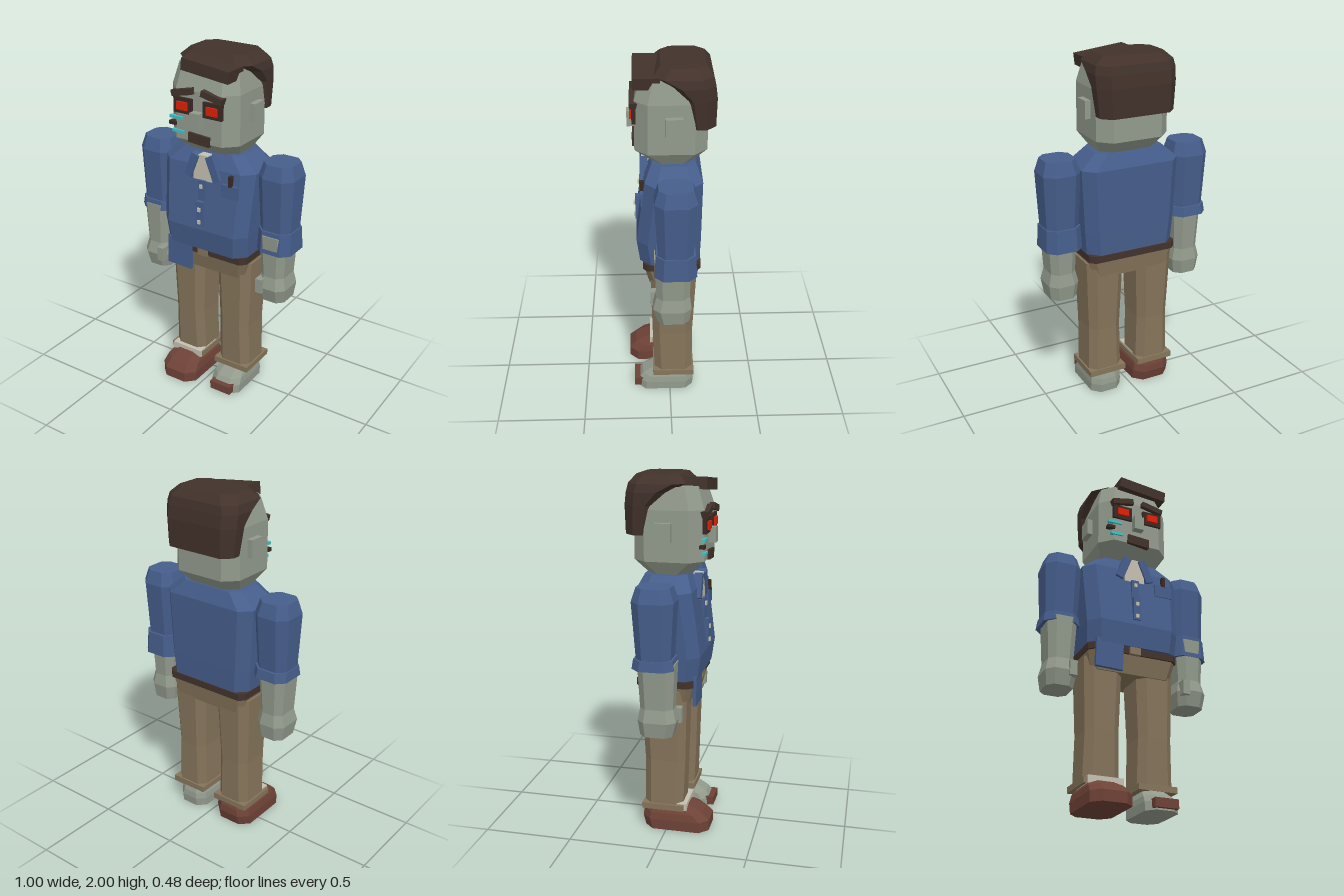
import * as THREE from 'three';

const mat = (name, color) => {
  const m = new THREE.MeshStandardMaterial({ color, flatShading: true });
  m.name = name;
  return m;
};

export function createModel() {
  const root = new THREE.Group();
  root.name = 'blockyUndeadMan';
  const skin = mat('grey green skin', 0x929a8c);
  const blue = mat('blue shirt', 0x465e8c);
  const hairBrown = mat('dark brown hair', 0x42322b);
  const tan = mat('tan trousers', 0x85745a);
  const leather = mat('red brown leather', 0x6e4237);
  const cloth = mat('pale cloth', 0xc4c0b0);
  const red = mat('glowing red', 0xe02008);
  const cyan = mat('cyan scratch', 0x40c4c8);
  const dark = mat('dark socket', 0x3a2a24);

  // Closed loft through chamfered rectangles: [y, halfWidth, zBack, zFront, chamfer]
  function loft(name, material, cx, rings) {
    const pos = [], idx = [];
    for (const [y, w, b, f, c] of rings) {
      const corners = [[w, f - c], [w, b + c], [w - c, b], [c - w, b],
        [-w, b + c], [-w, f - c], [c - w, f], [w - c, f]];
      for (const [x, z] of corners) pos.push(cx + x, y, z);
    }
    const n = rings.length;
    for (let r = 0; r < n - 1; r++) {
      for (let i = 0; i < 8; i++) {
        const a = r * 8 + i, b = r * 8 + (i + 1) % 8;
        idx.push(a, b, b + 8, a, b + 8, a + 8);
      }
    }
    const top = (n - 1) * 8;
    for (let i = 1; i < 7; i++) {
      idx.push(0, i + 1, i);
      idx.push(top, top + i, top + i + 1);
    }
    const g = new THREE.BufferGeometry();
    g.setAttribute('position', new THREE.Float32BufferAttribute(pos, 3));
    g.setIndex(idx);
    const flat = g.toNonIndexed();
    flat.computeVertexNormals();
    const m = new THREE.Mesh(flat, material);
    m.name = name;
    root.add(m);
    return m;
  }

  // Box from its limits on each axis, turned about z
  function box(name, material, x0, x1, y0, y1, z0, z1, turn = 0) {
    const m = new THREE.Mesh(new THREE.BoxGeometry(x1 - x0, y1 - y0, z1 - z0), material);
    m.position.set((x0 + x1) / 2, (y0 + y1) / 2, (z0 + z1) / 2);
    m.rotation.z = turn;
    m.name = name;
    root.add(m);
    return m;
  }

  // Torso, belt and hips
  loft('torso', blue, 0, [
    [0.9, 0.265, -0.165, 0.165, 0.06], [1.03, 0.275, -0.17, 0.182, 0.06],
    [1.39, 0.292, -0.175, 0.135, 0.06], [1.472, 0.2, -0.14, 0.095, 0.05]]);
  loft('belt', hairBrown, 0, [[0.86, 0.267, -0.17, 0.15, 0.03], [0.9, 0.267, -0.17, 0.15, 0.03]]);
  box('buckle', tan, -0.033, 0.033, 0.858, 0.9, 0.14, 0.162);
  loft('hips', tan, 0, [[0.755, 0.235, -0.145, 0.115, 0.03], [0.86, 0.26, -0.16, 0.14, 0.03]]);
  box('shirtTail', blue, -0.235, -0.075, 0.752, 0.92, 0.145, 0.165, -0.03);

  // Shirt front
  const bib = new THREE.Shape([[-0.06, 1.315], [0.06, 1.315], [0.06, 1.4], [0.028, 1.46],
    [-0.028, 1.46], [-0.06, 1.4]].map(p => new THREE.Vector2(...p)));
  const bibMesh = new THREE.Mesh(new THREE.ExtrudeGeometry(bib, { depth: 0.05, bevelEnabled: false }), cloth);
  bibMesh.name = 'undershirt';
  bibMesh.position.z = 0.1;
  root.add(bibMesh);
  for (const s of [-1, 1]) {
    box('collarFlap', blue, s * 0.068 - 0.023, s * 0.068 + 0.023, 1.325, 1.465, 0.115, 0.16, s * 0.37);
  }
  box('upperPlacket', blue, -0.022, 0.022, 1.2, 1.318, 0.14, 0.165);
  box('lowerPlacket', blue, -0.022, 0.022, 1.06, 1.2, 0.16, 0.188);
  for (const [y, z] of [[1.285, 0.165], [1.155, 0.188], [1.08, 0.188]]) {
    box('button', cloth, -0.009, 0.009, y - 0.011, y + 0.011, z - 0.005, z + 0.009);
  }
  box('pocket', blue, 0.125, 0.23, 1.25, 1.325, 0.13, 0.158);
  box('pen', dark, 0.17, 0.19, 1.32, 1.38, 0.13, 0.162);

  // Arms
  for (const s of [-1, 1]) {
    const cx = s * 0.393;
    loft('upperArm', blue, cx, [
      [1.06, 0.093, -0.115, 0.07, 0.04], [1.38, 0.108, -0.138, 0.088, 0.05],
      [1.456, 0.086, -0.115, 0.065, 0.04]]);
    const low = s > 0 ? 0.945 : 1.02;
    loft('sleeveCuff', blue, cx, [[low, 0.106, -0.138, 0.088, 0.045], [1.075, 0.1, -0.13, 0.082, 0.045]]);
    loft('forearmAndHand', skin, cx, [
      [0.645, 0.076, -0.1, 0.075, 0.035], [0.73, 0.088, -0.112, 0.098, 0.04],
      [0.8, 0.072, -0.1, 0.08, 0.035], [1.05, 0.087, -0.112, 0.09, 0.04]]);
    box('thumb', skin, s * 0.34 - 0.021, s * 0.34 + 0.021, 0.7, 0.785, 0.045, 0.11);
  }

  // Legs
  for (const s of [-1, 1]) {
    const cx = s * 0.155;
    loft('leg', tan, cx, [
      [0.14, 0.103, -0.13, 0.09, 0.04], [0.42, 0.097, -0.13, 0.1, 0.04],
      [0.84, 0.113, -0.15, 0.11, 0.045]]);
    box('trouserCuff', tan, cx - 0.113, cx + 0.113, 0.123, 0.157, -0.14, 0.1);
  }
  box('sock', cloth, -0.25, -0.05, 0.12, 0.163, -0.05, 0.115);
  loft('shoe', leather, -0.153, [
    [0, 0.117, -0.13, 0.24, 0.05], [0.06, 0.117, -0.145, 0.24, 0.05],
    [0.1, 0.108, -0.14, 0.2, 0.05], [0.145, 0.08, -0.12, 0.1, 0.04]]);
  loft('bareFoot', skin, 0.15, [
    [0, 0.095, -0.135, 0.19, 0.045], [0.05, 0.095, -0.14, 0.185, 0.045],
    [0.085, 0.09, -0.135, 0.16, 0.045], [0.125, 0.072, -0.12, 0.095, 0.035]]);
  box('shoeScrap', leather, 0.083, 0.218, 0.01, 0.06, 0.14, 0.21);

  // Head and ears
  loft('head', skin, 0, [
    [1.472, 0.17, -0.13, 0.1, 0.06], [1.545, 0.213, -0.2, 0.185, 0.07],
    [1.82, 0.213, -0.2, 0.183, 0.07], [1.94, 0.185, -0.17, 0.145, 0.06]]);
  for (const s of [-1, 1]) {
    box('ear', skin, s * 0.223 - 0.022, s * 0.223 + 0.022, 1.655, 1.755, -0.067, 0.022);
  }
  box('nose', skin, -0.03, 0.03, 1.63, 1.715, 0.17, 0.225);

  // Hair with a swept fringe
  loft('hair', hairBrown, 0, [
    [1.685, 0.218, -0.24, -0.092, 0.05], [1.84, 0.232, -0.244, -0.06, 0.06],
    [1.91, 0.235, -0.235, 0.0, 0.06], [1.955, 0.225, -0.225, 0.085, 0.06],
    [2.0, 0.175, -0.19, 0.045, 0.05]]);
  box('fringe', hairBrown, -0.105, 0.188, 1.907, 1.972, 0.05, 0.19, -0.11);

  // Face
  for (const s of [-1, 1]) {
    const ex = s * 0.093;
    box('eyebrow', hairBrown, ex - 0.066, ex + 0.066, 1.792, 1.826, 0.16, 0.208, -s * 0.22);
    box('eyeSocket', dark, ex - 0.058, ex + 0.058, 1.692, 1.778, 0.16, 0.197);
    box('eye', red, ex - 0.033, ex + 0.033, 1.713, 1.757, 0.19, 0.208);
  }
  box('mouth', hairBrown, -0.06, 0.073, 1.537, 1.592, 0.16, 0.198, -0.07);
  box('scratch', cyan, -0.18, -0.097, 1.654, 1.67, 0.175, 0.194);
  box('scratch', cyan, -0.165, -0.09, 1.579, 1.595, 0.175, 0.194);
  box('stitch', dark, -0.185, -0.14, 1.617, 1.637, 0.165, 0.194);

  return root;
}
